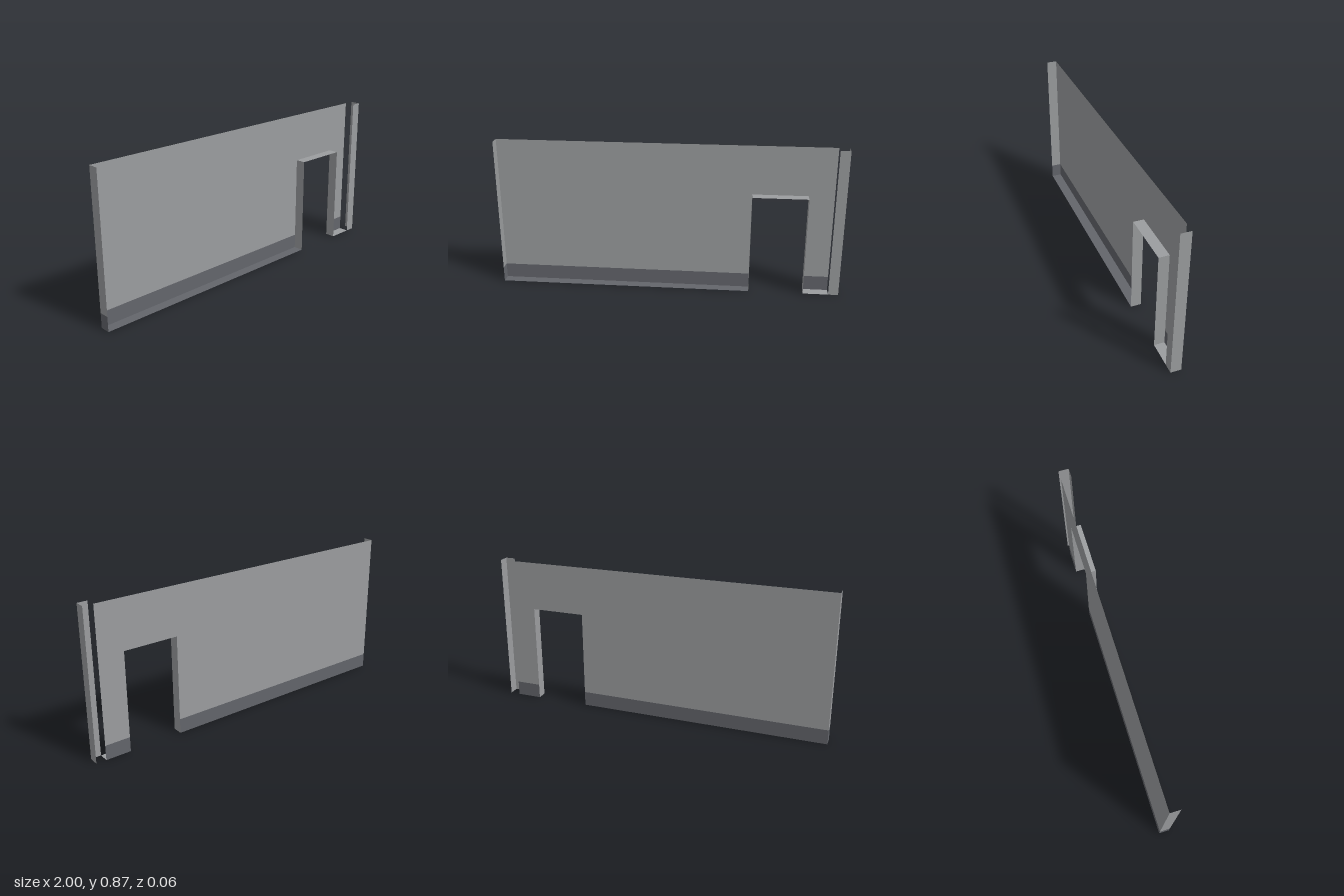
import * as THREE from 'three';

const LEFT = -1, RIGHT = 1, SEAM = 0.942;          // wall ends and the corner strip seam
const TOP = 0.872, BASE = 0.086, DEPTH = 0.06;     // heights and wall thickness
const DOOR_L = 0.477, DOOR_R = 0.795, DOOR_TOP = 0.585;
const FRONT = DEPTH / 2, BACK = -DEPTH / 2;

export function createModel() {
  const group = new THREE.Group();
  const plaster = new THREE.MeshStandardMaterial({ color: 0x9b9d9f, side: THREE.DoubleSide });
  plaster.name = 'plaster grey';
  const skirting = new THREE.MeshStandardMaterial({ color: 0x63656b, side: THREE.DoubleSide });
  skirting.name = 'skirting dark grey';

  const add = (name, geometry, material) => {
    const mesh = new THREE.Mesh(geometry, material);
    mesh.name = name;
    group.add(mesh);
    return mesh;
  };
  // Upright sheet facing the back, at depth z
  const sheet = (name, x0, x1, y0, y1, z, material) =>
    add(name, new THREE.PlaneGeometry(x1 - x0, y1 - y0).rotateY(Math.PI)
      .translate((x0 + x1) / 2, (y0 + y1) / 2, z), material);
  // Upright sheet across the wall thickness, facing along side (+1 or -1) in x
  const across = (name, x, y0, y1, side, material) =>
    add(name, new THREE.PlaneGeometry(DEPTH, y1 - y0).rotateY(side * Math.PI / 2)
      .translate(x, (y0 + y1) / 2, 0), material);
  // Level sheet across the wall thickness, facing down
  const level = (name, x0, x1, y, material) =>
    add(name, new THREE.PlaneGeometry(x1 - x0, DEPTH).rotateX(Math.PI / 2)
      .translate((x0 + x1) / 2, y, 0), material);

  // Back panel above the skirting, cut out around the doorway
  const outline = new THREE.Shape([
    [LEFT, BASE], [DOOR_L, BASE], [DOOR_L, DOOR_TOP], [DOOR_R, DOOR_TOP],
    [DOOR_R, BASE], [SEAM, BASE], [SEAM, TOP], [LEFT, TOP],
  ].map(([x, y]) => new THREE.Vector2(-x, y)));
  add('wallPanel', new THREE.ShapeGeometry(outline).rotateY(Math.PI).translate(0, 0, BACK), plaster);

  // Skirting band on both sides of the doorway and round the far end
  sheet('skirtingLong', LEFT, DOOR_L, 0, BASE, BACK, skirting);
  sheet('skirtingShort', DOOR_R, SEAM, 0, BASE, BACK, skirting);
  across('skirtingEnd', LEFT, 0, BASE, -1, skirting);

  // Undersides
  level('undersideLong', LEFT, DOOR_L, 0, skirting);
  level('undersideShort', DOOR_R, SEAM, 0, plaster);

  // Door frame faces
  across('doorJambFar', DOOR_L, 0, DOOR_TOP, 1, plaster);
  across('doorJambNear', DOOR_R, 0, DOOR_TOP, -1, plaster);
  level('doorLintel', DOOR_L, DOOR_R, DOOR_TOP, plaster);

  // End faces and the corner strip on the front side
  across('endFaceFar', LEFT, BASE, TOP, -1, plaster);
  across('endFaceNear', RIGHT, 0, TOP, 1, plaster);
  add('cornerStrip', new THREE.PlaneGeometry(RIGHT - SEAM, TOP)
    .translate((RIGHT + SEAM) / 2, TOP / 2, FRONT), plaster);

  return group;
}
